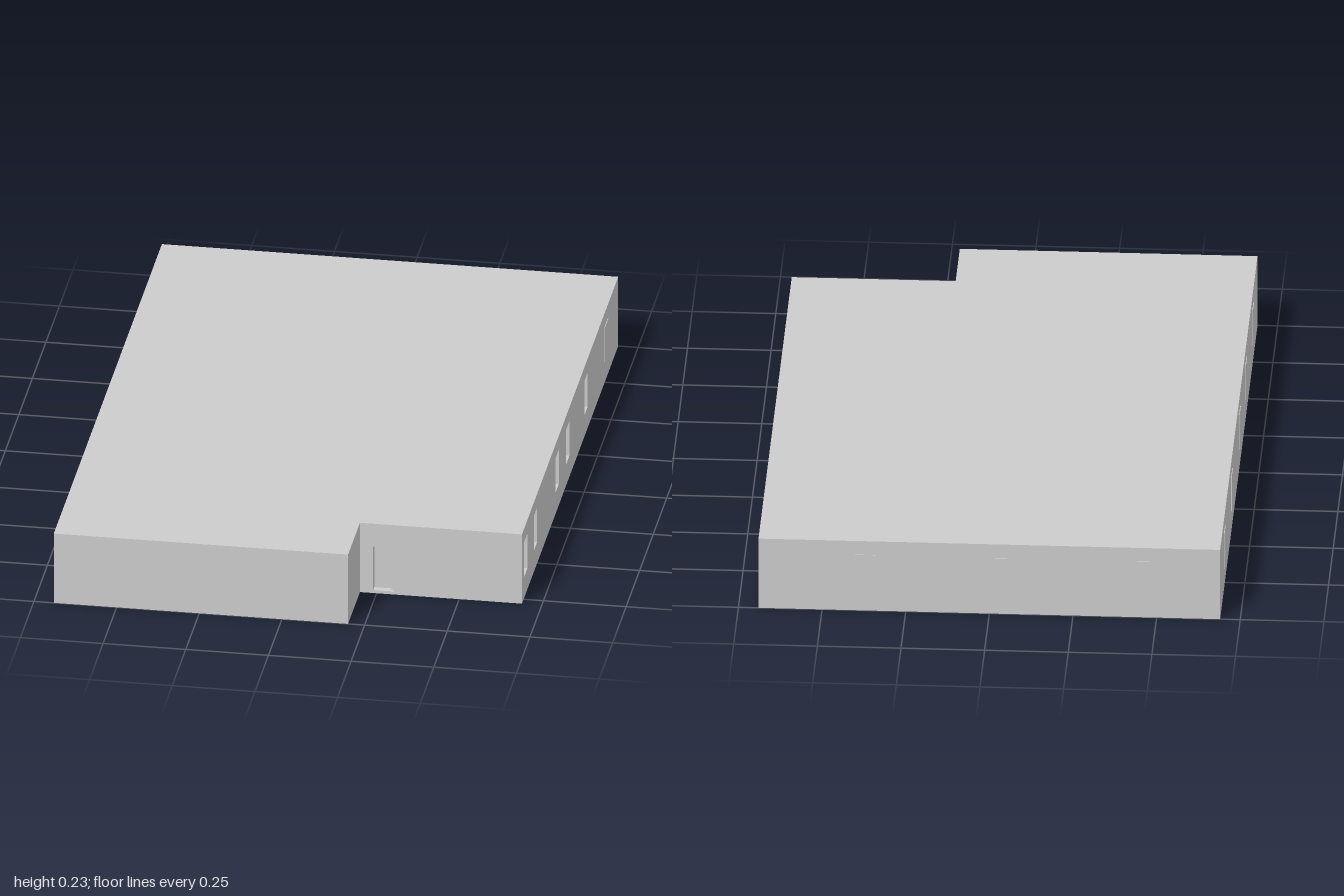
import * as THREE from 'three';

const H = 0.23, X = 0.69, Z = 1, NX = 0.2, NZ = 0.78; // height, half sizes, notch corner
const WIN = { w: 0.062, y0: 0.07, y1: 0.185 };
const material = new THREE.MeshStandardMaterial({ color: 0xcccccc, flatShading: true });
const inner = new THREE.MeshStandardMaterial({ color: 0xcccccc, flatShading: true, side: THREE.BackSide });

function add(parent, name, geometry, mat = material) {
  const mesh = new THREE.Mesh(geometry, mat);
  mesh.name = name;
  parent.add(mesh);
  return mesh;
}

// Open-fronted pocket; taper slants its right-hand reveal
function recess(parent, name, u, o, depth, taper = 0) {
  const g = new THREE.BoxGeometry(o.w, o.y1 - o.y0, depth);
  const index = Array.from(g.index.array);
  index.splice(24, 6); // leave the front open
  g.setIndex(index);
  const p = g.attributes.position;
  for (let i = 0; i < p.count; i++) {
    if (p.getX(i) > 0 && p.getZ(i) < 0) p.setX(i, p.getX(i) - taper);
  }
  g.computeVertexNormals();
  add(parent, name, g, inner).position.set(u, (o.y0 + o.y1) / 2, -depth / 2);
}

// Wall from a to b ([x, z], seen left to right from outside) with openings and flush panes
function wall(parent, name, a, b, { openings = [], panes = [] } = {}) {
  const group = new THREE.Group();
  group.name = name;
  const dx = b[0] - a[0], dz = b[1] - a[1], L = Math.hypot(dx, dz);
  group.position.set(a[0], 0, a[1]);
  group.rotation.y = Math.atan2(-dz, dx);
  parent.add(group);

  const shape = new THREE.Shape([[0, 0], [L, 0], [L, H], [0, H]].map(p => new THREE.Vector2(...p)));
  for (const { u, size, kind, depth, taper } of openings) {
    const l = u - size.w / 2, r = u + size.w / 2;
    shape.holes.push(new THREE.Path([[l, size.y0], [l, size.y1], [r, size.y1], [r, size.y0]]
      .map(p => new THREE.Vector2(...p))));
    recess(group, kind, u, size, depth, taper);
  }
  add(group, name + 'Face', new THREE.ShapeGeometry(shape));
  for (const u of panes) {
    add(group, 'windowPane', new THREE.BoxGeometry(WIN.w, WIN.y1 - WIN.y0, 0.004))
      .position.set(u, (WIN.y0 + WIN.y1) / 2, 0);
  }
}

export function createModel() {
  const model = new THREE.Group();
  model.name = 'building';

  // Roof and floor share the notched outline
  const outline = [[-X, -Z], [X, -Z], [X, NZ], [NX, NZ], [NX, Z], [-X, Z]];
  const plan = s => new THREE.ShapeGeometry(
    new THREE.Shape(outline.map(([x, z]) => new THREE.Vector2(x, s * z))));
  add(model, 'roof', plan(-1).rotateX(-Math.PI / 2)).position.y = H;
  add(model, 'floor', plan(1).rotateX(Math.PI / 2));

  // Front walls around the entrance notch
  wall(model, 'frontWall', [-X, Z], [NX, Z]);
  wall(model, 'notchSideWall', [NX, Z], [NX, NZ]);
  wall(model, 'entranceWall', [NX, NZ], [X, NZ], {
    openings: [{ u: 0.0725, size: { w: 0.065, y0: 0.01, y1: 0.155 }, kind: 'doorRecess', depth: 0.02, taper: 0.016 }],
  });

  // Long wall with five recessed windows and one flush pane
  wall(model, 'leftWall', [X, NZ], [X, -Z], {
    openings: [0.71, 0.53, 0.13, -0.065, -0.405].map(z => (
      { u: NZ - z, size: WIN, kind: 'windowRecess', depth: 0.02 })),
    panes: [NZ + 0.775],
  });

  // Remaining walls with flush panes
  wall(model, 'backWall', [X, -Z], [-X, -Z], { panes: [0.37, -0.04, -0.45].map(x => X - x) });
  wall(model, 'rightWall', [-X, -Z], [-X, Z], { panes: [-0.77, -0.38, 0.04, 0.38, 0.75].map(z => z + Z) });
  return model;
}
